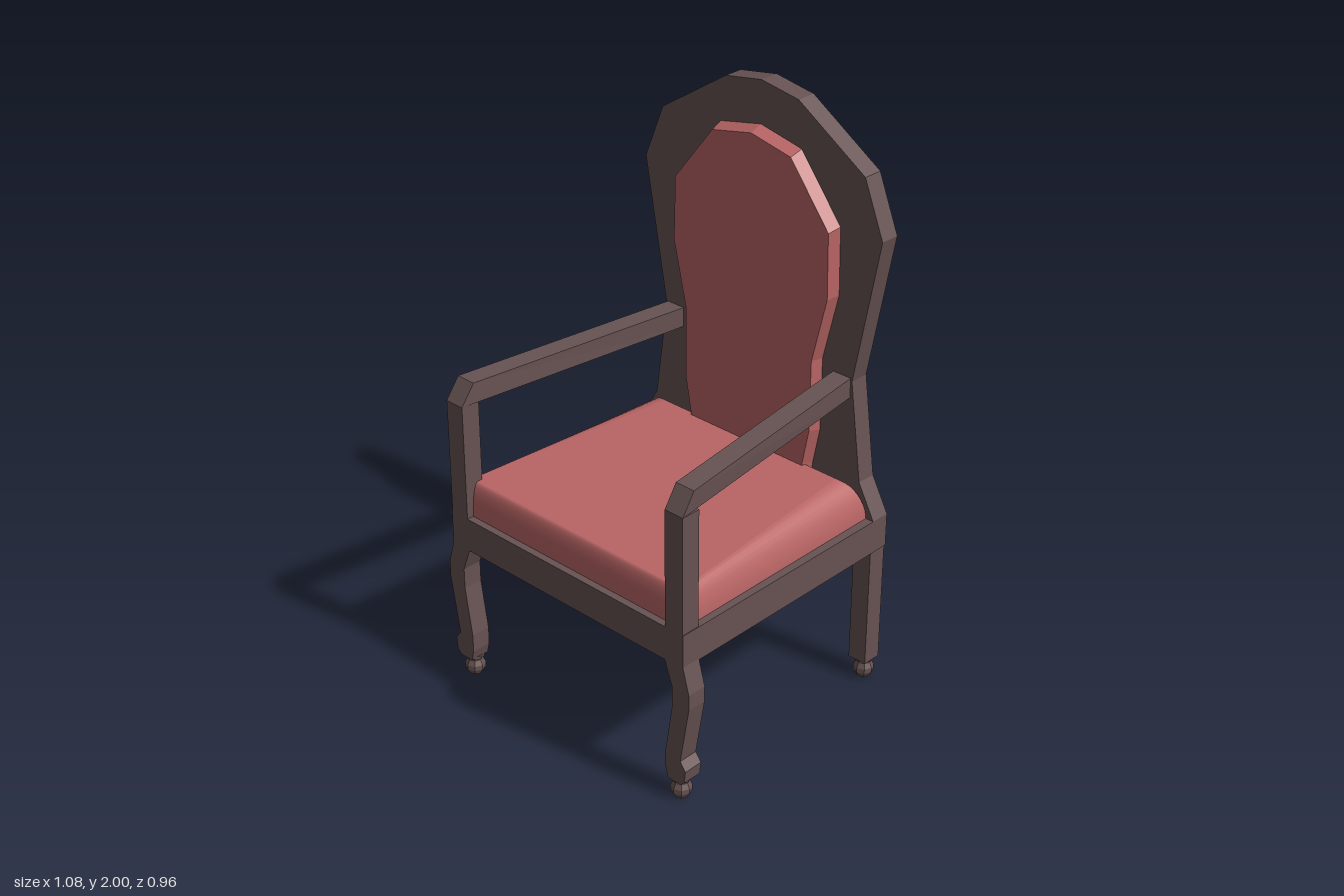
import * as THREE from 'three';

const wood = new THREE.MeshStandardMaterial({ color: 0x675252 });
wood.name = 'dark wood';
const fabric = new THREE.MeshStandardMaterial({ color: 0xb96565 });
fabric.name = 'red fabric';

function part(name, geometry, material, x = 0, y = 0, z = 0) {
  const mesh = new THREE.Mesh(geometry, material);
  mesh.name = name;
  mesh.position.set(x, y, z);
  return mesh;
}

// Closed outline extruded along z from 0 to depth
function slab(points, depth) {
  const shape = new THREE.Shape(points.map(([x, y]) => new THREE.Vector2(x, y)));
  return new THREE.ExtrudeGeometry(shape, { depth, bevelEnabled: false });
}

// Right half of an outline, bottom to top centre, completed by mirroring
function symmetric(half) {
  const other = half.filter(([x]) => x > 0).map(([x, y]) => [-x, y]).reverse();
  return [...half, ...other];
}

// Padded seat: rolled sides, flat top that narrows towards the back
function seatCushionGeometry() {
  const steps = 10, y0 = 0.62, y1 = 0.75;
  const positions = [], indices = [];
  const ring = (t) => {
    const a = t * Math.PI / 2, inset = 1 - Math.cos(a);
    const y = y0 + (y1 - y0) * Math.sin(a);
    const front = 0.455 - 0.025 * inset, back = -0.41 + 0.035 * inset;
    const wf = 0.49 - 0.025 * inset, wb = 0.485 - 0.105 * inset;
    return [[wf, y, front], [wb, y, back], [-wb, y, back], [-wf, y, front]];
  };
  for (let side = 0; side < 4; side++) {
    const base = positions.length / 3;
    for (let i = 0; i <= steps; i++) {
      const r = ring(i / steps);
      positions.push(...r[side], ...r[(side + 1) % 4]);
      if (i < steps) {
        const a = base + 2 * i;
        indices.push(a, a + 1, a + 3, a, a + 3, a + 2);
      }
    }
  }
  // Flat top
  const top = positions.length / 3;
  ring(1).forEach((p) => positions.push(...p));
  indices.push(top, top + 1, top + 2, top, top + 2, top + 3);
  const g = new THREE.BufferGeometry();
  g.setAttribute('position', new THREE.Float32BufferAttribute(positions, 3));
  g.setIndex(indices);
  g.computeVertexNormals();
  return g;
}

// Back pad whose front outline is slightly smaller than its rear
function backCushionGeometry() {
  const outline = symmetric([[0.24, 0.63], [0.255, 0.75], [0.28, 0.88], [0.28, 1.14],
    [0.337, 1.38], [0.332, 1.61], [0.168, 1.82], [0, 1.855]]);
  const g = slab(outline, 0.045);
  const p = g.attributes.position;
  for (let i = 0; i < p.count; i++) {
    if (p.getZ(i) > 0.02) p.setXY(i, p.getX(i) * 0.97, 1.2 + (p.getY(i) - 1.2) * 0.975);
  }
  g.computeVertexNormals();
  return g;
}

// Arm rail with a chamfered front, slanting inwards to the back
function armGeometry() {
  const g = slab([[-0.42, 1.04], [0.48, 1.04], [0.43, 1.11], [-0.42, 1.11]], 0.072);
  g.rotateY(-Math.PI / 2).translate(0.512, 0, 0);
  const p = g.attributes.position;
  for (let i = 0; i < p.count; i++) {
    p.setX(i, p.getX(i) - 0.115 * Math.max(0, 0.45 - p.getZ(i)) / 0.86);
  }
  g.computeVertexNormals();
  return g;
}

// Faceted ball foot with a thin collar
function footGeometry() {
  const profile = [[0, 0], [0.024, 0], [0.035, 0.02], [0.035, 0.037], [0.026, 0.055],
    [0.02, 0.057], [0.02, 0.061], [0.031, 0.062], [0.031, 0.073], [0, 0.073]];
  const g = new THREE.LatheGeometry(profile.map(([x, y]) => new THREE.Vector2(x, y)), 8).toNonIndexed();
  g.computeVertexNormals();
  return g;
}

// Legs, feet, post and arm of one side
function sideParts(name) {
  const side = new THREE.Group();
  side.name = name;
  const curvedLeg = [[0.437, 0.515], [0.47, 0.425], [0.47, 0.35], [0.443, 0.175], [0.443, 0.11],
    [0.453, 0.07], [0.505, 0.07], [0.522, 0.085], [0.527, 0.13], [0.505, 0.16],
    [0.54, 0.37], [0.54, 0.425], [0.515, 0.515]];
  side.add(
    part('frontLeg', slab(curvedLeg, 0.07), wood, 0, 0, 0.41),
    part('backLeg', new THREE.BoxGeometry(0.07, 0.445, 0.07), wood, 0.475, 0.2925, -0.445),
    part('armPost', new THREE.BoxGeometry(0.072, 0.42, 0.07), wood, 0.476, 0.83, 0.445),
    part('armRest', armGeometry(), wood),
    part('frontFoot', footGeometry(), wood, 0.477, 0, 0.445),
    part('backFoot', footGeometry(), wood, 0.477, 0, -0.445),
  );
  return side;
}

export function createModel() {
  const chair = new THREE.Group();
  chair.name = 'armchair';

  // Seat frame and shaped back panel
  const backOutline = symmetric([[0.515, 0.51], [0.515, 0.63], [0.45, 0.75], [0.403, 1.1],
    [0.497, 1.61], [0.42, 1.8], [0.15, 1.975], [0, 2]]);
  chair.add(
    part('seatFrame', new THREE.BoxGeometry(1.03, 0.12, 0.89), wood, 0, 0.57, 0.035),
    part('backPanel', slab(backOutline, 0.07), wood, 0, 0, -0.48),
    part('seatCushion', seatCushionGeometry(), fabric),
    part('backCushion', backCushionGeometry(), fabric, 0, 0, -0.41),
  );

  // Mirrored sides
  const left = sideParts('leftSide');
  const right = sideParts('rightSide');
  right.scale.x = -1;
  chair.add(left, right);
  return chair;
}
